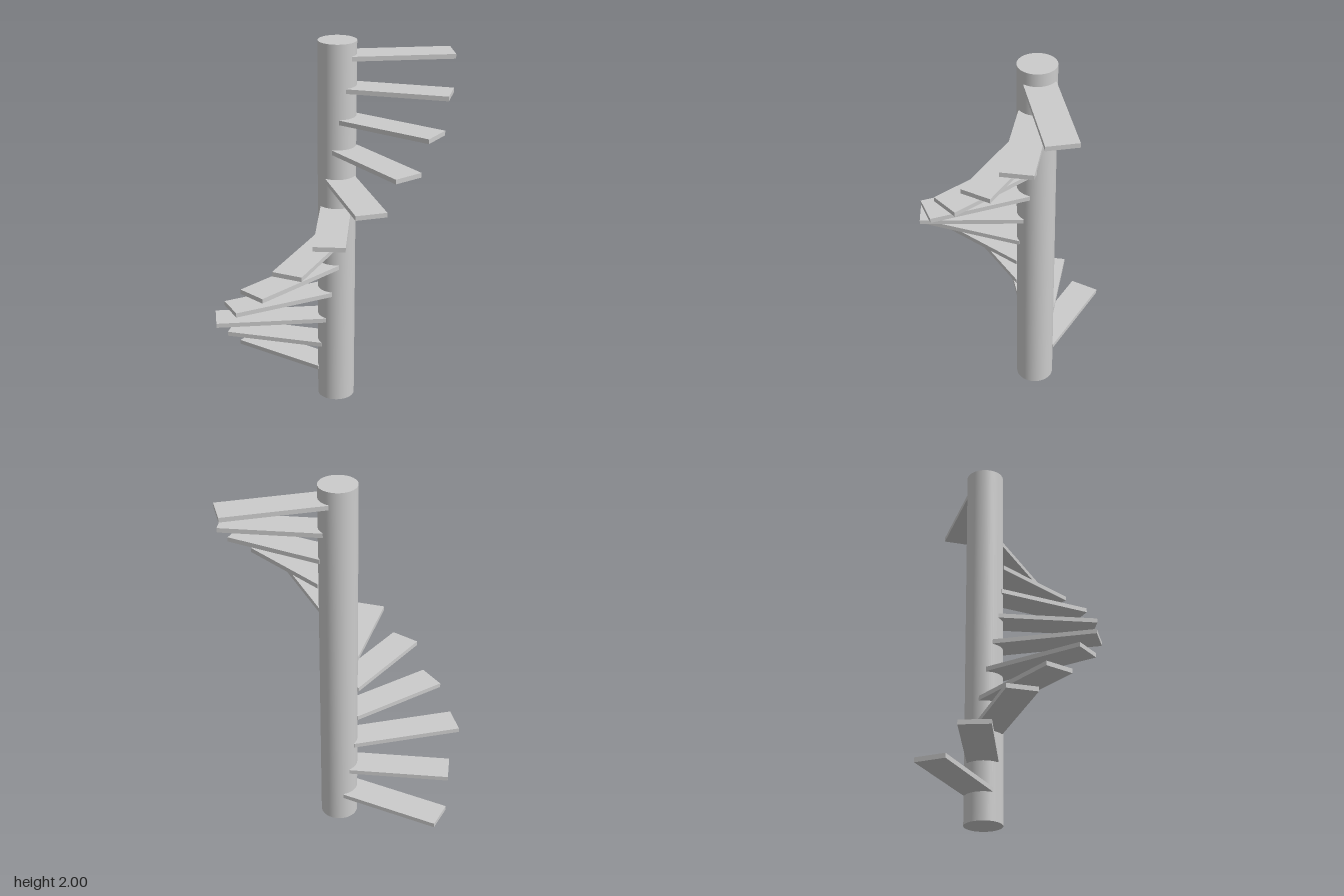
import * as THREE from 'three';

export function createModel() {
  const model = new THREE.Group();
  model.name = 'spiralStaircase';
  const material = new THREE.MeshStandardMaterial({ color: 0xcccccc });

  // Central column, set off the origin so the whole stair is centred
  const stair = new THREE.Group();
  stair.name = 'stair';
  stair.position.set(0.009, 0, -0.094);
  model.add(stair);

  const column = new THREE.Mesh(new THREE.CylinderGeometry(0.099, 0.099, 2, 64), material);
  column.name = 'column';
  column.position.y = 1;
  stair.add(column);

  // Treads: 20 degrees and 0.16 units of rise apart, with slightly uneven reach
  const inner = 0.065;
  const reach = [0.604, 0.597, 0.652, 0.615, 0.62, 0.61, 0.592, 0.585, 0.58, 0.583, 0.581, 0.587];
  reach.forEach((outer, i) => {
    const length = outer - inner;
    const geometry = new THREE.BoxGeometry(length, 0.024, 0.16);
    geometry.translate(inner + length / 2, 0, 0);
    const tread = new THREE.Mesh(geometry, material);
    tread.name = `tread${i + 1}`;
    tread.position.y = 0.16 * (i + 1);
    tread.rotation.y = Math.PI + THREE.MathUtils.degToRad(20 * i);
    stair.add(tread);
  });

  return model;
}
